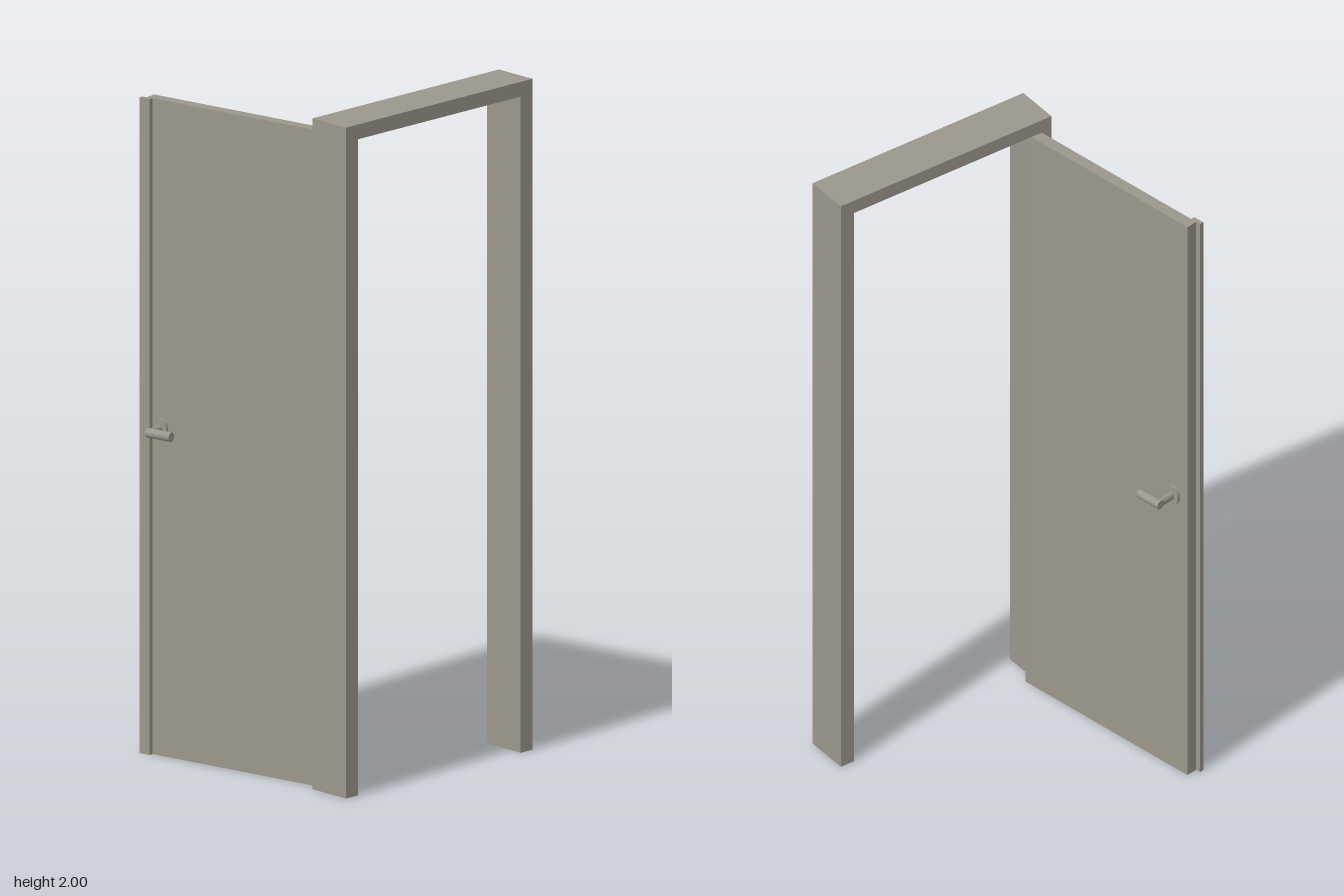
import * as THREE from 'three';

export function createModel() {
  const model = new THREE.Group();
  model.name = 'openDoor';
  const stone = new THREE.MeshStandardMaterial({ color: 0x9c978c });
  stone.name = 'warm grey';

  const add = (parent, name, geometry) => {
    const mesh = new THREE.Mesh(geometry, stone);
    mesh.name = name;
    parent.add(mesh);
    return mesh;
  };
  // Box given by its limits on each axis
  const box = (parent, name, [x0, x1], [y0, y1], [z0, z1]) => {
    const g = new THREE.BoxGeometry(x1 - x0, y1 - y0, z1 - z0);
    g.translate((x0 + x1) / 2, (y0 + y1) / 2, (z0 + z1) / 2);
    return add(parent, name, g);
  };

  // Frame: two jambs and a lintel as one extruded outline
  const outline = new THREE.Shape([
    [-0.305, 0], [-0.258, 0], [-0.258, 1.956], [0.393, 1.956],
    [0.393, 0], [0.44, 0], [0.44, 2], [-0.305, 2],
  ].map(([x, y]) => new THREE.Vector2(x, y)));
  const frame = new THREE.ExtrudeGeometry(outline, { depth: 0.138, bevelEnabled: false });
  frame.translate(0, 0, 0.241);
  add(model, 'doorFrame', frame);

  // Leaf swung open on its hinge; it runs along local -z
  const door = new THREE.Group();
  door.name = 'door';
  door.position.set(-0.272, 0, 0.24);
  door.rotation.y = THREE.MathUtils.degToRad(10);
  model.add(door);
  const height = [0, 1.955];
  box(door, 'doorLeaf', [0, 0.036], height, [-0.616, 0.032]);
  box(door, 'closingLip', [-0.013, 0], height, [-0.632, -0.596]);

  // Lever handles, one on each face
  const handleY = 0.975, handleZ = -0.563;
  for (const side of [-1, 1]) {
    const handle = new THREE.Group();
    handle.name = side < 0 ? 'outerHandle' : 'innerHandle';
    handle.position.set(side < 0 ? 0 : 0.036, handleY, handleZ);
    door.add(handle);

    // Oval rosette
    const rosette = new THREE.CylinderGeometry(0.032, 0.032, 0.0095, 24);
    rosette.rotateZ(Math.PI / 2).scale(1, 1, 0.73).translate(side * 0.00475, 0, 0);
    add(handle, 'rosette', rosette);

    // Shank and lever meet at a square corner
    const reach = side < 0 ? 0.07 : 0.079;
    const shank = new THREE.CylinderGeometry(0.0135, 0.0135, reach - 0.012, 16);
    shank.rotateZ(Math.PI / 2).scale(1, 1, 0.67).translate(side * (reach - 0.012) / 2, 0, 0);
    add(handle, 'shank', shank);

    const lever = new THREE.CylinderGeometry(0.014, 0.014, 0.084, 16);
    lever.rotateX(Math.PI / 2).translate(side * (reach - 0.014), 0, 0.033);
    add(handle, 'lever', lever);
  }
  return model;
}
